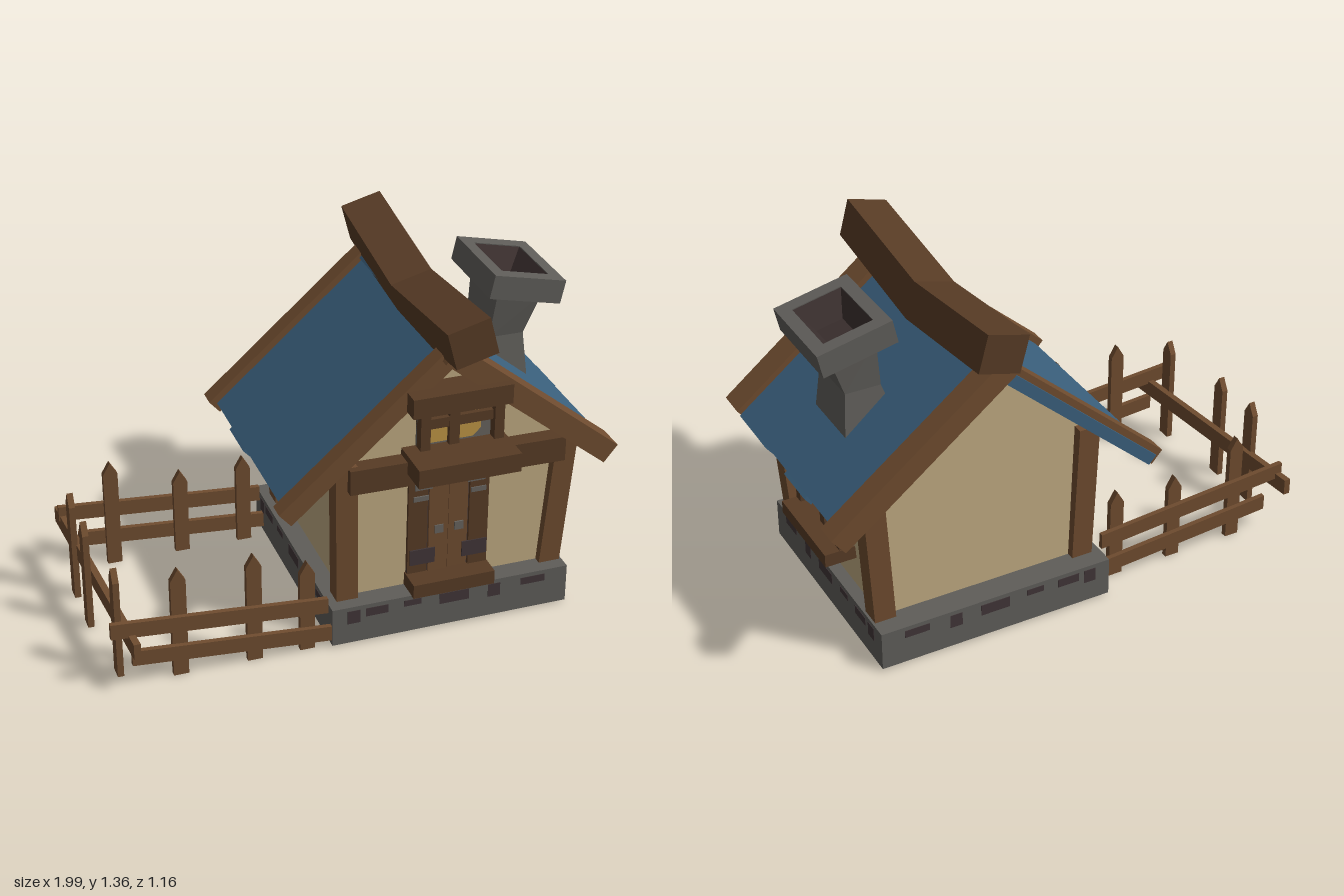
import * as THREE from 'three';

const mat = (name, color, side = THREE.FrontSide) => {
  const m = new THREE.MeshStandardMaterial({ color, side });
  m.name = name;
  return m;
};

export function createModel() {
  const wood = mat('wood', 0x6f4c2f);
  const darkWood = mat('darkWood', 0x573b25);
  const plaster = mat('plaster', 0xc0ab82, THREE.DoubleSide);
  const roofBlue = mat('roofBlue', 0x3a5f7c);
  const stone = mat('stone', 0x5f5d59, THREE.DoubleSide);
  const darkStone = mat('darkStone', 0x403537);
  const soot = mat('soot', 0x3a2f2e, THREE.DoubleSide);
  const glow = mat('windowGlow', 0xbd9544);
  const iron = mat('iron', 0x66635e);

  const model = new THREE.Group();
  model.name = 'cottage';

  const add = (parent, name, geometry, material) => {
    const mesh = new THREE.Mesh(geometry, material);
    mesh.name = name;
    parent.add(mesh);
    return mesh;
  };
  // Moves every vertex by a rule, keeping facets flat
  const warp = (geometry, rule) => {
    const g = geometry.toNonIndexed(), p = g.attributes.position, v = new THREE.Vector3();
    for (let i = 0; i < p.count; i++) {
      rule(v.fromBufferAttribute(p, i));
      p.setXYZ(i, v.x, v.y, v.z);
    }
    g.computeVertexNormals();
    return g;
  };
  // Box given by its limits, optionally warped
  const box = (parent, name, m, [x0, x1], [y0, y1], [z0, z1], rule) => {
    const g = new THREE.BoxGeometry(x1 - x0, y1 - y0, z1 - z0);
    g.translate((x0 + x1) / 2, (y0 + y1) / 2, (z0 + z1) / 2);
    return add(parent, name, rule ? warp(g, rule) : g, m);
  };
  const polygon = (pts) => new THREE.Shape(pts.map(([x, y]) => new THREE.Vector2(x, y)));
  const rect = (x0, x1, y0, y1) => polygon([[x0, y0], [x1, y0], [x1, y1], [x0, y1]]);
  // Upright rectangular frame: outline minus hole, extruded along y
  const frame = (outer, hole, y0, y1) => {
    const s = rect(...outer);
    s.holes.push(rect(...hole));
    const g = new THREE.ExtrudeGeometry(s, { depth: y1 - y0, bevelEnabled: false });
    return g.rotateX(-Math.PI / 2).translate(0, y0, 0);
  };

  // Stone foundation, open underneath (outline is x and -z)
  const base = new THREE.Group();
  base.name = 'foundation';
  model.add(base);
  add(base, 'foundationSides', frame([-0.155, 0.8, -0.47, 0.49], [-0.145, 0.79, -0.46, 0.48], 0.01, 0.155), stone);
  add(base, 'foundationLedge', frame([-0.155, 0.8, -0.47, 0.49], [-0.08, 0.74, -0.37, 0.37], 0.155, 0.167), stone);
  // Worn patches along the upper edge
  for (const [t, w, h] of [[0.05, 0.05, 0.06], [0.13, 0.09, 0.04], [0.3, 0.07, 0.03], [0.46, 0.12, 0.05], [0.68, 0.05, 0.06], [0.83, 0.1, 0.035]]) {
    const y = [0.155 - h, 0.15], x = -0.14 + t * 0.9, z = -0.47 + t * 0.9;
    for (const f of [0.47, -0.49]) box(base, 'wornPatch', darkStone, [x, x + w], y, [f - 0.002, f + 0.002]);
    for (const f of [0.8, -0.155]) box(base, 'wornPatch', darkStone, [f - 0.002, f + 0.002], y, [z, z + w]);
  }

  // Plaster walls: two gables and two leaning sides
  const gable = [[-0.08, 0.16], [0.75, 0.16], [0.79, 0.765], [0.314, 1.14], [-0.095, 0.775]];
  const flare = (v) => { v.z += Math.sign(v.z) * Math.max(0, v.y - 0.16) * 0.02; };
  add(model, 'frontWall', warp(new THREE.ShapeGeometry(polygon(gable)).translate(0, 0, 0.385), flare), plaster);
  add(model, 'backWall', warp(new THREE.ShapeGeometry(polygon(gable)).rotateY(Math.PI).scale(-1, 1, 1).translate(0, 0, -0.385), flare), plaster)
    .geometry.computeVertexNormals();
  for (const [name, x, lean, turn] of [['leftWall', 0.75, 0.04, 1], ['rightWall', -0.08, -0.015, -1]]) {
    const g = new THREE.PlaneGeometry(0.77, 0.61).rotateY(turn * Math.PI / 2).translate(x, 0.465, 0);
    add(model, name, warp(g, (v) => { v.x += lean * (v.y - 0.16) / 0.61; flare(v); }), plaster);
  }

  // Leaning corner posts
  for (const s of [1, -1]) for (const [x0, x1, lean] of [[-0.12, -0.035, -0.012], [0.705, 0.79, 0.04]]) {
    const z = s > 0 ? [0.34, 0.417] : [-0.417, -0.335];
    box(model, 'cornerPost', wood, [x0, x1], [0.16, 0.75], z, (v) => {
      const t = (v.y - 0.16) / 0.59;
      v.x += lean * t;
      v.z += s * 0.02 * t;
    });
  }
  // Lintel beam across the front
  box(model, 'frontBeam', darkWood, [-0.085, 0.765], [0.645, 0.745], [0.385, 0.465], (v) => { v.y -= (v.x - 0.34) * 0.012; });

  // Roof parts: slab lying under the line a-b
  const slab = (name, m, [ax, ay], [bx, by], drop, t, z0, z1) => {
    const len = Math.hypot(bx - ax, by - ay), angle = Math.atan2(by - ay, bx - ax);
    const mesh = add(model, name, new THREE.BoxGeometry(len, t, z1 - z0), m);
    const d = drop + t / 2;
    mesh.position.set((ax + bx) / 2 + Math.sin(angle) * d, (ay + by) / 2 - Math.cos(angle) * d, (z0 + z1) / 2);
    mesh.rotation.z = angle;
  };
  const apex = [0.314, 1.205];
  slab('roofPanelRight', roofBlue, [-0.34, 0.628], apex, 0.025, 0.045, -0.525, 0.42);
  slab('roofPanelLeft', roofBlue, apex, [0.965, 0.69], 0.025, 0.045, -0.46, 0.42);
  // Uneven lower edge of the roof
  slab('roofEdgeLeft', roofBlue, [0.94, 0.71], [0.977, 0.681], 0.027, 0.04, -0.23, -0.05);
  slab('roofEdgeLeft', roofBlue, [0.94, 0.71], [0.972, 0.685], 0.027, 0.04, 0.13, 0.38);
  slab('roofEdgeRight', roofBlue, [-0.35, 0.619], [-0.32, 0.646], 0.027, 0.04, -0.24, -0.06);
  // Barge boards
  slab('bargeBoardFrontRight', wood, [-0.355, 0.617], apex, 0, 0.07, 0.39, 0.46);
  slab('bargeBoardFrontLeft', wood, apex, [0.965, 0.685], 0, 0.085, 0.38, 0.495);
  slab('bargeBoardBackRight', wood, [-0.355, 0.617], apex, 0, 0.065, -0.515, -0.44);
  slab('bargeBoardBackLeft', wood, apex, [0.99, 0.676], 0, 0.085, -0.53, -0.44);

  // Sagging, twisted ridge beam
  add(model, 'ridgeBeam', warp(
    new THREE.BoxGeometry(0.165, 0.148, 1.165, 1, 1, 6).rotateZ(0.26).translate(0.335, 1.26, 0),
    (v) => { v.y -= 0.075 * (1 - Math.abs(v.z) / 0.5825) + v.z * 0.01; v.x -= v.z * 0.015; }), darkWood);

  // Chimney: pinched stem with a tilted hollow cap
  const chimney = new THREE.Group();
  chimney.name = 'chimney';
  model.add(chimney);
  const rings = [[0.79, 0.54, 0.765, -0.167, 0.097], [0.99, 0.61, 0.75, -0.15, 0.07], [1.17, 0.63, 0.808, -0.167, 0.095]];
  add(chimney, 'chimneyStem', warp(new THREE.BoxGeometry(1, 2, 1, 1, 2, 1), (v) => {
    const [y, x0, x1, z0, z1] = rings[Math.round(v.y) + 1];
    v.y = y;
    v.x = v.x < 0 ? x0 : x1;
    v.z = v.z < 0 ? z0 : z1;
    if (y > 1.1) v.y -= (v.x - 0.72) * 0.22;
  }), stone);
  const cap = new THREE.Group();
  cap.name = 'chimneyCap';
  cap.position.set(0.725, 1.208, -0.038);
  cap.rotation.z = -0.22;
  chimney.add(cap);
  add(cap, 'capRim', frame([-0.148, 0.148, -0.19, 0.19], [-0.098, 0.098, -0.135, 0.135], -0.047, 0.047), stone);
  const flue = new THREE.CylinderGeometry(Math.SQRT1_2, 0.36, 0.088, 4, 1, true).rotateY(Math.PI / 4).scale(0.194, 1, 0.268);
  add(cap, 'flue', warp(flue, () => {}), soot);
  box(cap, 'flueFloor', soot, [-0.12, 0.12], [-0.046, -0.038], [-0.16, 0.16]);

  // Windows, facing +z in their own frame
  const makeWindow = (name, w) => {
    const g = new THREE.Group();
    g.name = name;
    const [x0, x1] = w.opening, [y0, y1] = w.height, z = w.z;
    const mx = w.mullion, my = (y0 + y1) / 2 + 0.004;
    box(g, 'windowBack', iron, [x0, x1], [y0, y1], [z - 0.02, z]);
    const [a, b, c, d] = [w.glass[0], w.glass[1], y0 + 0.008, y1 - 0.012], k = 0.03;
    const pane = polygon([[a + k, c], [b - k, c], [b, c + k], [b, d - k], [b - k, d], [a + k, d], [a, d - k], [a, c + k]]);
    add(g, 'windowPane', new THREE.ShapeGeometry(pane).translate(0, 0, z + 0.003), glow);
    for (const [p, q] of [[x0, x0 + 0.038], [x1 - 0.038, x1]]) box(g, 'jamb', darkWood, [p, q], [y0, y1], [z - 0.02, z + 0.04]);
    box(g, 'mullion', darkWood, [mx - 0.02, mx + 0.02], [y0, y1], [z - 0.01, z + 0.025]);
    box(g, 'crossBar', darkWood, [x0, x1], [my - 0.02, my + 0.02], [z - 0.01, z + 0.022]);
    box(g, 'header', darkWood, w.header, [y1, y1 + w.headerHeight], [z - 0.03, w.headerZ]);
    box(g, 'sill', darkWood, w.sill, [y0 - w.sillHeight, y0], [z - 0.03, w.sillZ]);
    model.add(g);
    return g;
  };
  makeWindow('gableWindow', {
    opening: [0.19, 0.518], height: [0.775, 0.957], z: 0.41, glass: [0.21, 0.44], mullion: 0.328,
    header: [0.13, 0.515], headerHeight: 0.078, headerZ: 0.525, sill: [0.135, 0.535], sillHeight: 0.075, sillZ: 0.58,
  });
  makeWindow('sideWindow', {
    opening: [-0.19, 0.2], height: [0.367, 0.587], z: 0.785, glass: [-0.115, 0.112], mullion: 0.015,
    header: [-0.215, 0.22], headerHeight: 0.05, headerZ: 0.845, sill: [-0.19, 0.205], sillHeight: 0.053, sillZ: 0.885,
  }).rotation.y = Math.PI / 2;

  // Double door with planks, hinges, kick plates and step
  const door = new THREE.Group();
  door.name = 'door';
  model.add(door);
  for (let i = 0; i < 4; i++) {
    const x = 0.165 + i * 0.081;
    box(door, 'plank', i % 3 ? wood : darkWood, [x, x + 0.077], [0.165, 0.65], [0.37, 0.405 + (i % 2) * 0.006]);
  }
  box(door, 'doorGap', darkStone, [0.165, 0.488], [0.165, 0.65], [0.37, 0.4]);
  for (const s of [-1, 1]) {
    const plate = (name, m, x, y, w, h) => {
      const c = 0.327 + s * x;
      box(door, name, m, [c - w / 2, c + w / 2], [y - h / 2, y + h / 2], [0.409, 0.415]);
    };
    plate('hinge', iron, 0.105, 0.6, 0.07, 0.025);
    plate('hinge', iron, 0.115, 0.55, 0.06, 0.02);
    plate('handle', iron, 0.04, 0.405, 0.035, 0.035);
    plate('kickPlate', darkStone, 0.105, 0.295, 0.1, 0.065);
  }
  box(door, 'doorStep', darkWood, [0.16, 0.488], [0.165, 0.222], [0.38, 0.49]);

  // Picket fence around the yard
  const fence = new THREE.Group();
  fence.name = 'fence';
  model.add(fence);
  const picket = (x, z, h, turned) => {
    const w = 0.029;
    const s = polygon([[-w, 0.002], [w, 0.002], [w, h - 0.05], [0, h], [-w, h - 0.05]]);
    const g = new THREE.ExtrudeGeometry(s, { depth: 0.024, bevelEnabled: false }).translate(0, 0, -0.012);
    const mesh = add(fence, 'picket', g, wood);
    mesh.position.set(x, 0, z);
    if (turned) mesh.rotation.y = Math.PI / 2;
  };
  for (const [z, s] of [[0.455, -1], [-0.4, 1]]) {
    const slope = (v) => { v.y -= (v.x + 1) * 0.08; };
    box(fence, 'upperRail', wood, [-0.995, -0.17], [0.225, 0.288], [z - 0.01, z + 0.01], slope);
    box(fence, 'lowerRail', wood, [-0.92, -0.13], [0.1, 0.162], [z - 0.01, z + 0.01], slope);
    const row = s < 0 ? [[-0.735, 0.46], [-0.45, 0.46], [-0.245, 0.385]] : [[-0.785, 0.46], [-0.505, 0.37], [-0.245, 0.385]];
    for (const [x, h] of row) picket(x, z + s * 0.02, h);
  }
  box(fence, 'endRail', wood, [-0.963, -0.937], [0.172, 0.238], [-0.47, 0.525], (v) => { v.x += v.z * 0.07; v.y -= v.z * 0.02; });
  for (const [x, z] of [[-0.982, -0.2], [-0.98, 0.015], [-0.95, 0.36]]) picket(x, z, 0.46, true);

  return model;
}
